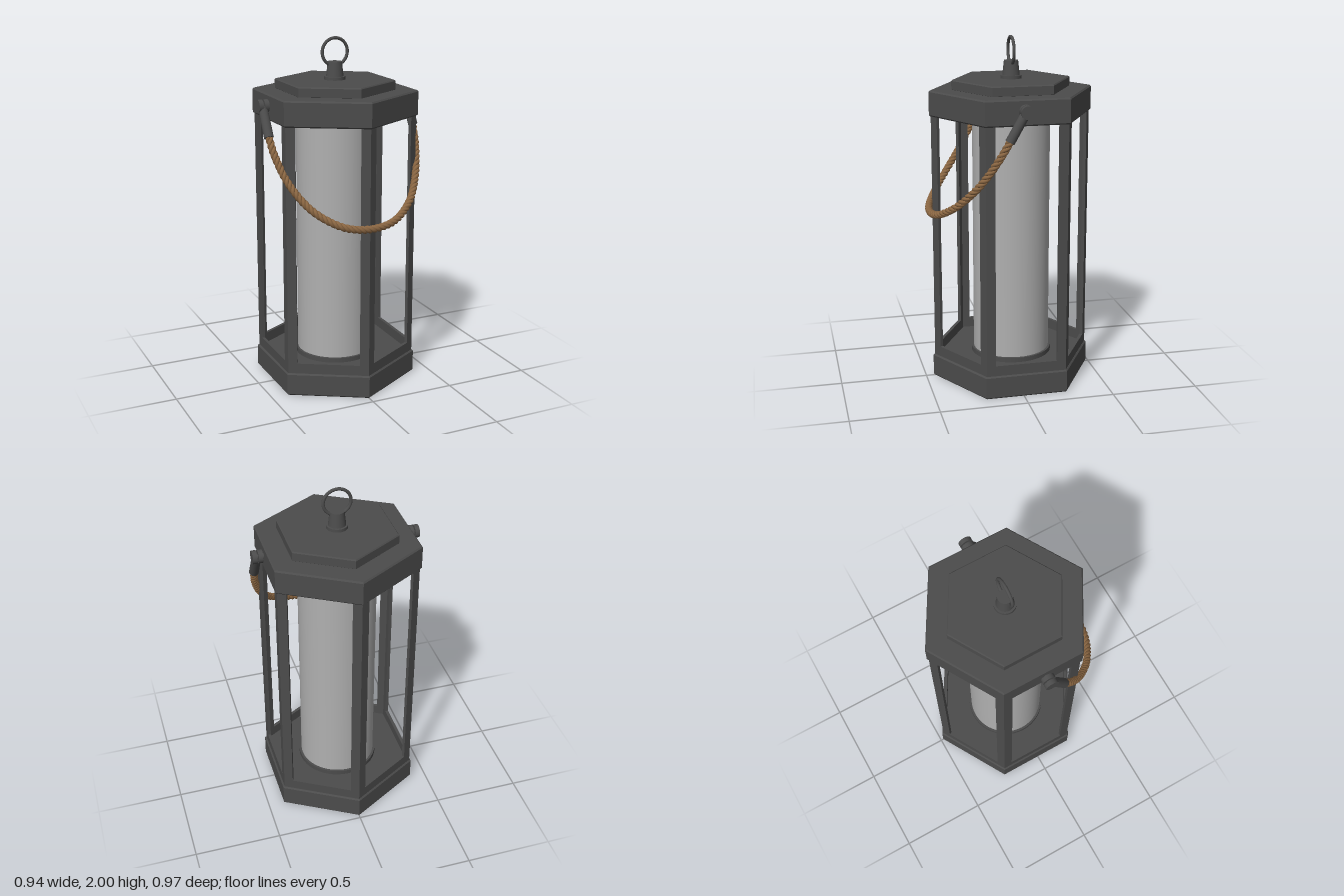
import * as THREE from 'three';

export function createModel() {
  const metal = new THREE.MeshStandardMaterial({ color: 0x4c4c4c });
  const glass = new THREE.MeshStandardMaterial({ color: 0xb0b0b0 });
  const cord = new THREE.MeshStandardMaterial({ color: 0x8a6642 });
  const model = new THREE.Group();
  const body = new THREE.Group();
  body.name = 'lanternBody';
  body.position.z = -0.015;
  model.add(body);

  function add(parent, name, geometry, material, x = 0, y = 0, z = 0) {
    const mesh = new THREE.Mesh(geometry, material);
    mesh.name = name;
    mesh.position.set(x, y, z);
    parent.add(mesh);
    return mesh;
  }

  // Six-sided slab with small bevels on its rims
  function hexSlab(name, r, y0, y1, b) {
    const profile = [[0, y0], [r - b, y0], [r, y0 + b], [r, y1 - b], [r - b, y1], [0, y1]];
    const g = new THREE.LatheGeometry(profile.map(p => new THREE.Vector2(...p)), 6).toNonIndexed();
    g.computeVertexNormals();
    add(body, name, g, metal);
  }
  hexSlab('base', 0.47, 0, 0.135, 0.008);
  hexSlab('lid', 0.47, 1.56, 1.705, 0.008);
  hexSlab('lidStep', 0.341, 1.7, 1.76, 0.006);

  // Upright cylinder helper
  function post(name, rTop, rBottom, y0, y1, material) {
    add(body, name, new THREE.CylinderGeometry(rTop, rBottom, y1 - y0, 48), material, 0, (y0 + y1) / 2);
  }

  // Six open window frames meeting at the corners
  const half = 0.23, bar = 0.052;
  const pane = new THREE.Shape([[-half, 0.13], [half, 0.13], [half, 1.6], [-half, 1.6]]
    .map(p => new THREE.Vector2(...p)));
  const inner = half - bar;
  pane.holes.push(new THREE.Path([[-inner, 0.195], [-inner, 1.575], [inner, 1.575], [inner, 0.195]]
    .map(p => new THREE.Vector2(...p))));
  const frameGeo = new THREE.ExtrudeGeometry(pane, { depth: 0.018, bevelEnabled: false });
  frameGeo.translate(0, 0, half * Math.sqrt(3) - 0.018);
  for (let i = 0; i < 6; i++) {
    add(body, 'windowFrame', frameGeo, metal).rotation.y = Math.PI / 6 + i * Math.PI / 3;
  }

  // Central lamp tube with its collars
  post('lampTube', 0.222, 0.222, 0.14, 1.56, glass);
  post('lowerCollar', 0.235, 0.235, 0.13, 0.162, metal);
  post('upperCollar', 0.232, 0.232, 1.535, 1.57, metal);

  // Hanging ring on a tapered finial
  post('finialFoot', 0.06, 0.06, 1.755, 1.778, metal);
  post('finial', 0.04, 0.05, 1.77, 1.86, metal);
  add(body, 'hangingRing', new THREE.TorusGeometry(0.077, 0.009, 12, 48), metal, 0, 1.914, 0);

  // Handle pivots: two cheeks, a pin and a tilted sleeve on each side
  for (const s of [-1, 1]) {
    const pivot = new THREE.Group();
    pivot.name = s > 0 ? 'leftPivot' : 'rightPivot';
    model.add(pivot);
    const parts = [['pivotCheek', 0.037, 0.025, 0.427], ['pivotCheek', 0.037, 0.025, 0.4595], ['pivotPin', 0.016, 0.07, 0.43]];
    for (const [name, r, length, x] of parts) {
      add(pivot, name, new THREE.CylinderGeometry(r, r, length, 32), metal, s * x, 1.643, 0).rotation.z = Math.PI / 2;
    }
    const top = new THREE.Vector3(s * 0.444, 1.635, 0.008), end = new THREE.Vector3(s * 0.445, 1.485, 0.094);
    const axis = top.clone().sub(end);
    const sleeve = add(pivot, 'ropeSleeve', new THREE.CylinderGeometry(0.026, 0.027, axis.length(), 24), metal);
    sleeve.position.copy(top).add(end).multiplyScalar(0.5);
    sleeve.quaternion.setFromUnitVectors(new THREE.Vector3(0, 1, 0), axis.normalize());
  }

  // Drooping rope of three twisted strands
  const side = [[0.445, 1.5, 0.085], [0.435, 1.4, 0.142], [0.402, 1.28, 0.217], [0.36, 1.195, 0.28], [0.285, 1.105, 0.358], [0.15, 1.03, 0.435]];
  const points = [
    ...side.map(([x, y, z]) => new THREE.Vector3(-x, y, z)),
    new THREE.Vector3(0, 1.01, 0.46),
    ...side.slice().reverse().map(p => new THREE.Vector3(...p)),
  ];
  const path = new THREE.CatmullRomCurve3(points);
  const across = new THREE.Vector3(0, 0.6, 0.8);
  class Strand extends THREE.Curve {
    constructor(phase) { super(); this.phase = phase; }
    getPoint(t, target = new THREE.Vector3()) {
      const tangent = path.getTangentAt(t);
      const u = new THREE.Vector3().crossVectors(tangent, across).normalize();
      const v = new THREE.Vector3().crossVectors(tangent, u);
      const a = this.phase + t * 19 * Math.PI * 2;
      return target.copy(path.getPointAt(t))
        .addScaledVector(u, Math.cos(a) * 0.0105).addScaledVector(v, Math.sin(a) * 0.0105);
    }
  }
  for (let i = 0; i < 3; i++) {
    const strand = new Strand(i * Math.PI * 2 / 3);
    strand.arcLengthDivisions = 800;
    add(model, 'ropeStrand', new THREE.TubeGeometry(strand, 420, 0.0115, 8), cord);
  }
  return model;
}
